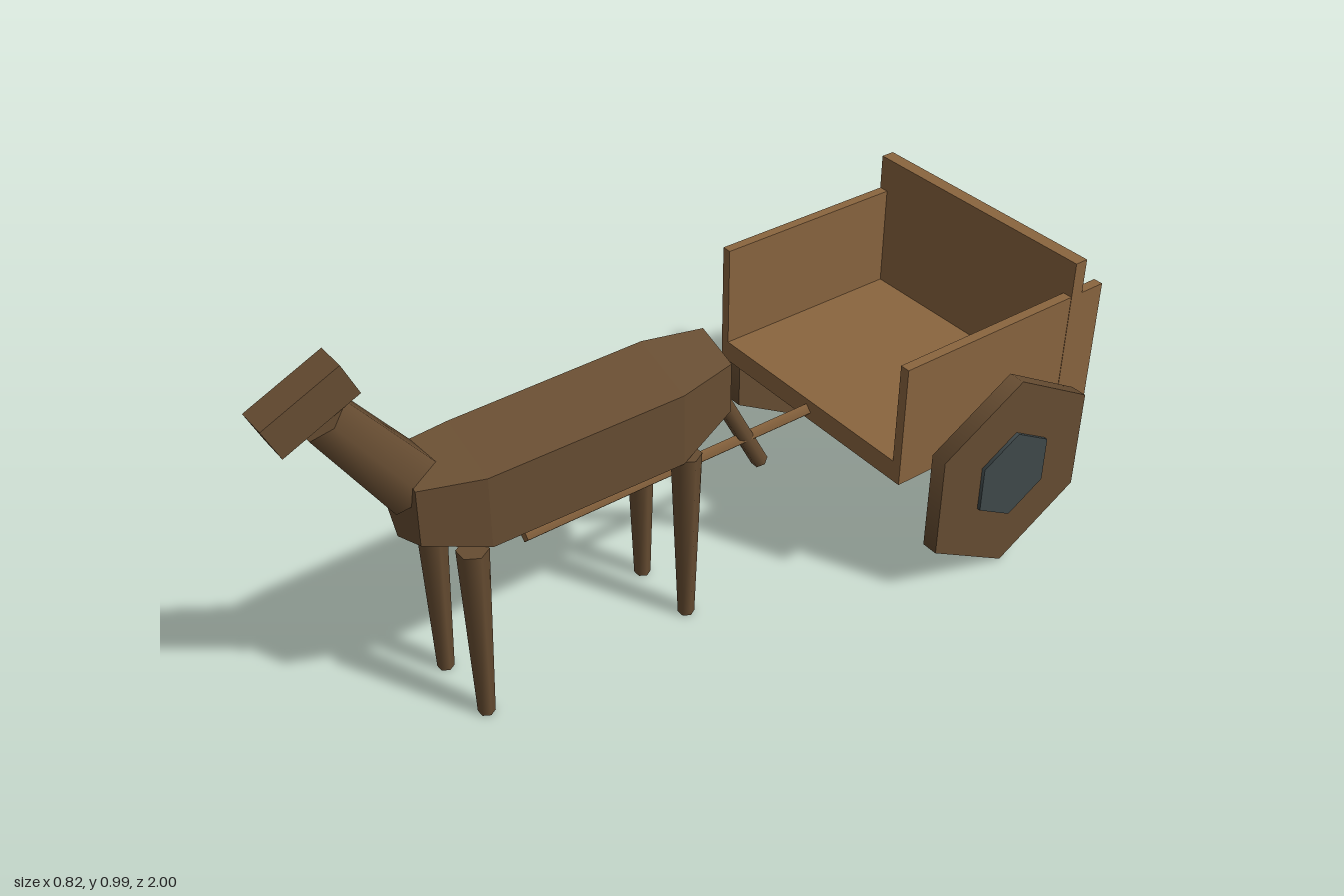
import * as THREE from 'three';

const wood = new THREE.MeshStandardMaterial({ name: 'cart wood', color: 0x8a653f });
const hide = new THREE.MeshStandardMaterial({ name: 'dark brown', color: 0x674d32 });
const iron = new THREE.MeshStandardMaterial({ name: 'hub grey', color: 0x3f494b });

export function createModel() {
  const model = new THREE.Group();
  model.name = 'horseAndCart';

  const add = (name, geometry, material, x, y, z) => {
    const mesh = new THREE.Mesh(geometry, material);
    mesh.name = name;
    mesh.position.set(x, y, z);
    model.add(mesh);
    return mesh;
  };
  const box = (name, w, h, d, material, x, y, z) =>
    add(name, new THREE.BoxGeometry(w, h, d), material, x, y, z);
  // Six-sided rod with corners on the x axis
  const rod = (rTop, rBottom, length) =>
    new THREE.CylinderGeometry(rTop, rBottom, length, 6, 1, false, Math.PI / 2);

  // Cart box: floor, two sides and a raised tail board
  box('cartFloor', 0.62, 0.055, 0.62, wood, 0, 0.3625, -0.69);
  for (const s of [-1, 1]) {
    const side = s > 0 ? 'left' : 'right';
    box(side + 'CartSide', 0.025, 0.32, 0.62, wood, s * 0.3225, 0.495, -0.69);
    // Hexagonal wheel and hub
    const wheel = add(side + 'Wheel', rod(0.267, 0.267, 0.042), hide, s * 0.379, 0.267, -0.69);
    wheel.rotation.z = Math.PI / 2;
    const hub = add(side + 'Hub', rod(0.12, 0.12, 0.06), iron, s * 0.379, 0.269, -0.69);
    hub.rotation.z = Math.PI / 2;
    // Tapered legs
    add(side + 'FrontLeg', rod(0.036, 0.02, 0.47), hide, s * 0.09, 0.235, 0.608);
    add(side + 'BackLeg', rod(0.036, 0.02, 0.47), hide, s * 0.09, 0.235, 0.05);
  }
  box('tailBoard', 0.672, 0.38, 0.035, wood, 0, 0.556, -0.9125);

  // Square pole set on edge, running under the horse
  const pole = add('pole', new THREE.CylinderGeometry(0.0175, 0.0175, 0.82, 4), wood, 0, 0.358, 0.02);
  pole.rotation.x = Math.PI / 2;

  add('body', bodyGeometry(), hide, 0, 0, 0);

  const neck = add('neck', rod(0.055, 0.071, 0.295), hide, 0, 0.752, 0.775);
  neck.scale.z = 1.1;
  neck.rotation.x = Math.atan2(0.17, 0.24);

  const head = box('head', 0.075, 0.086, 0.194, hide, 0, 0.914, 0.895);
  head.rotation.x = 0.427;

  const tail = add('tail', rod(0.021, 0.021, 0.306), hide, 0, 0.4035, -0.167);
  tail.rotation.x = Math.atan2(0.142, 0.271);

  return model;
}

// Five-sided faceted barrel lofted through rings: z, centre height, x radius, y radius
function bodyGeometry() {
  const rings = [
    [-0.085, 0.587, 0.095, 0.11],
    [0.075, 0.561, 0.143, 0.158],
    [0.57, 0.562, 0.138, 0.154],
    [0.718, 0.595, 0.095, 0.12],
  ];
  const n = 5;
  const point = (r, i) => {
    const [z, cy, rx, ry] = rings[r];
    const a = Math.PI + (i * 2 * Math.PI) / n;
    return [rx * Math.cos(a), cy + ry * Math.sin(a), z];
  };
  const verts = [];
  const tri = (a, b, c) => verts.push(...a, ...b, ...c);
  for (let r = 0; r < rings.length - 1; r++) {
    for (let i = 0; i < n; i++) {
      const a = point(r, i), b = point(r, i + 1), c = point(r + 1, i + 1), d = point(r + 1, i);
      tri(a, b, c);
      tri(a, c, d);
    }
  }
  // End caps
  const last = rings.length - 1;
  for (let i = 1; i < n - 1; i++) {
    tri(point(0, 0), point(0, i + 1), point(0, i));
    tri(point(last, 0), point(last, i), point(last, i + 1));
  }
  const geometry = new THREE.BufferGeometry();
  geometry.setAttribute('position', new THREE.Float32BufferAttribute(verts, 3));
  geometry.computeVertexNormals();
  return geometry;
}
